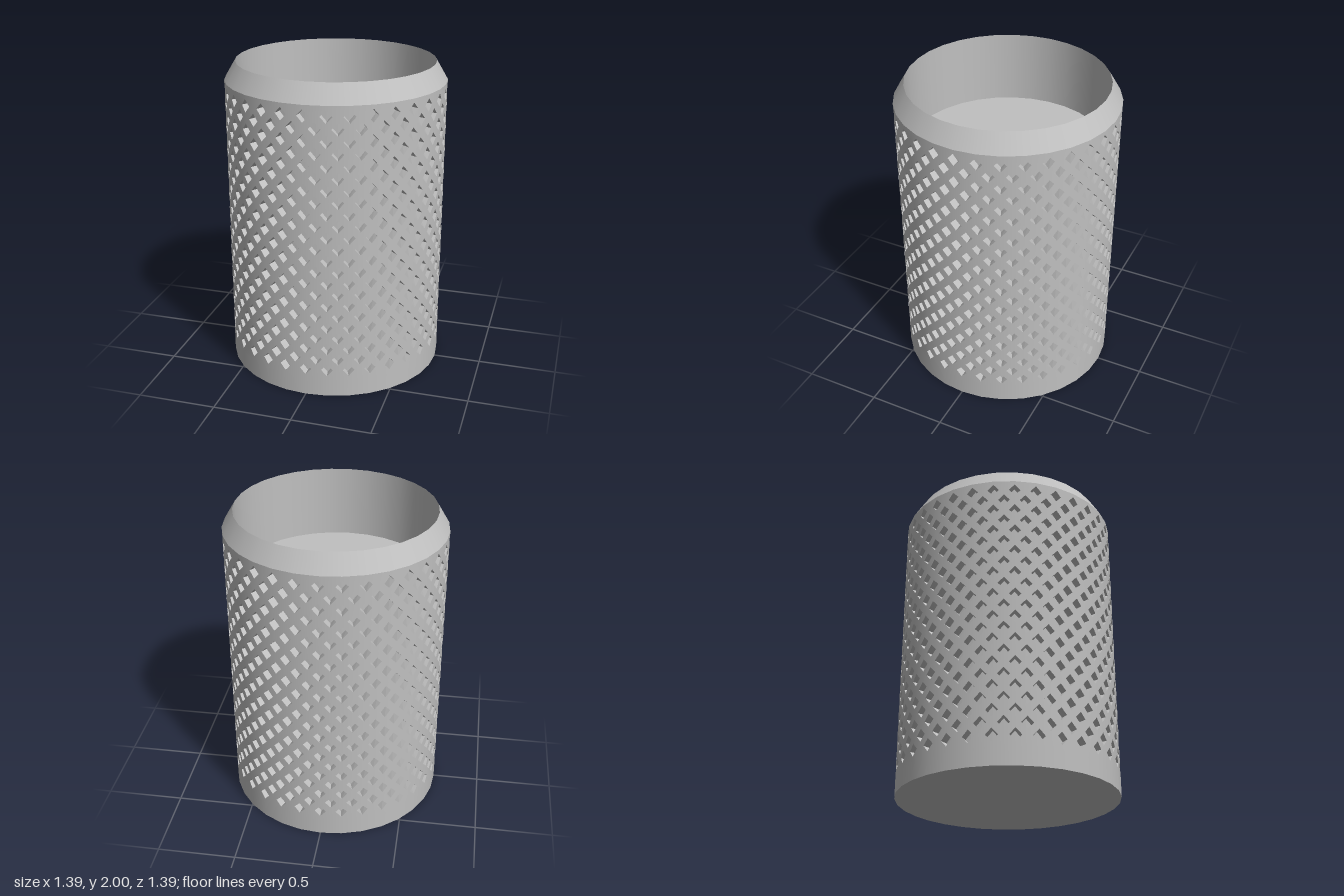
import * as THREE from 'three';

const SIDES = 32;               // facets around the body
const R = 0.697;                // outer radius at the facet corners
const RIM = 0.627;              // recess radius
const FLOOR_R = 0.642;          // radius of the pocket floors
const A = Math.PI / SIDES;      // half a cell in angle
const B = 0.0743;               // half a cell in height
const ROWS = 12;
const BOTTOM = 1 - ROWS * B, TOP = 1.882;
const FILL = 0.54;              // pocket size relative to its cell

// Point on the faceted body at angle t and height y
function onBody(t, y) {
  const k = Math.round(t / A - 1e-6);
  const mid = k % 2 === 0 ? (t >= k * A ? k + 1 : k - 1) : k;
  const r = R * Math.cos(A) / Math.cos(t - mid * A);
  return new THREE.Vector3(r * Math.sin(t), y, r * Math.cos(t));
}

function onFloor(t, y) {
  return new THREE.Vector3(FLOOR_R * Math.sin(t), y, FLOOR_R * Math.cos(t));
}

function polygon(list, ...p) {
  for (let i = 1; i < p.length - 1; i++) list.push(p[0], p[i], p[i + 1]);
}

// Four corners of a diamond: right, top, left, bottom
function diamond(t, y, scale, place) {
  const clampY = (v) => Math.min(v, TOP);
  return [[1, 0], [0, 1], [-1, 0], [0, -1]].map(([u, v]) =>
    place(t + u * A * scale, clampY(y + v * B * scale)));
}

function createModel() {
  const group = new THREE.Group();
  const grey = new THREE.MeshStandardMaterial({ color: 0xc0c0c0 });
  grey.name = 'plain grey';

  function add(name, geometry) {
    const mesh = new THREE.Mesh(geometry, grey);
    mesh.name = name;
    group.add(mesh);
  }

  // Turned parts, one profile per smooth band
  function turned(name, ...points) {
    add(name, new THREE.LatheGeometry(points.map(([x, y]) => new THREE.Vector2(x, y)), SIDES));
  }
  turned('base', [0, 0], [R, 0]);
  turned('lowerBand', [R, 0], [R, BOTTOM]);
  turned('chamfer', [R, TOP], [RIM, 2]);
  turned('recessWall', [RIM, 2], [RIM, 1.54]);
  turned('recessFloor', [RIM, 1.54], [0, 1.54]);

  // Diamond lattice with a sunken pocket in every cell
  const lattice = [], pockets = [];
  for (let col = 0; col < SIDES * 2; col++) {
    const t = col * A, odd = col % 2;
    const count = odd ? ROWS - 1 : ROWS;
    for (let row = 0; row < count; row++) {
      const y = BOTTOM + B * (2 * row + 1 + odd);
      const outer = diamond(t, y, 1, onBody);
      const edge = diamond(t, y, FILL, onBody);
      const floor = diamond(t, y, FILL, onFloor);
      for (let k = 0; k < 4; k++) {
        const n = (k + 1) % 4;
        polygon(lattice, outer[k], outer[n], edge[n], edge[k]);
        polygon(pockets, edge[k], edge[n], floor[n], floor[k]);
      }
      polygon(pockets, floor[1], floor[2], floor[3], floor[0]);
    }
    // Solid half cells closing both ends of the lattice
    if (odd) {
      polygon(lattice, onBody(t - A, BOTTOM), onBody(t + A, BOTTOM), onBody(t, BOTTOM + B));
      polygon(lattice, onBody(t - A, TOP), onBody(t, 1 + ROWS * B - B), onBody(t + A, TOP));
    }
  }

  // Lattice is shaded round, pockets are shaded flat
  const shell = new THREE.BufferGeometry().setFromPoints(lattice);
  const normals = lattice.flatMap((p) => {
    const l = Math.hypot(p.x, p.z);
    return [p.x / l, 0, p.z / l];
  });
  shell.setAttribute('normal', new THREE.Float32BufferAttribute(normals, 3));
  add('gripLattice', shell);

  const cuts = new THREE.BufferGeometry().setFromPoints(pockets);
  cuts.computeVertexNormals();
  add('gripPockets', cuts);

  return group;
}

export { createModel };
